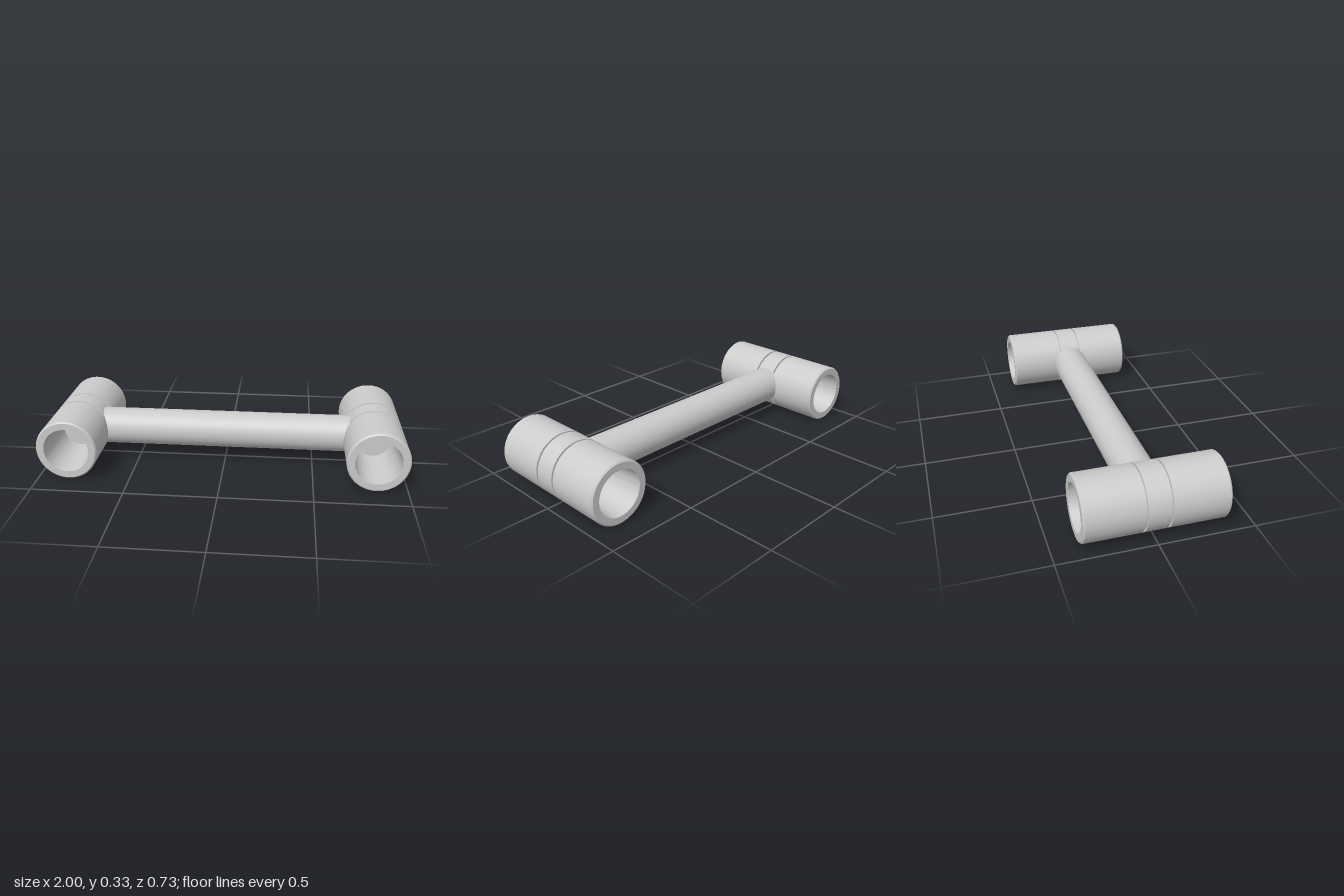
import * as THREE from 'three';
import { toCreasedNormals } from 'three/addons/utils/BufferGeometryUtils.js';

const R = 0.167;          // sleeve radius, also its height above the ground
const SLEEVE_X = 1 - R;

// Half profile of a sleeve [radius, axial], from the middle to the open end
const halfProfile = [
  [R, 0.056], [0.153, 0.056], [0.153, 0.068], [R, 0.068],  // groove
  [R, 0.355], [0.159, 0.363],                              // chamfered rim
  [0.123, 0.363], [0.103, 0.06], [0, 0.06],                // tapered blind bore
];

function sleeveGeometry() {
  const mirrored = halfProfile.map(([r, a]) => [r, -a]).reverse();
  const points = [...mirrored, ...halfProfile].map(([r, a]) => new THREE.Vector2(r, a));
  const geometry = new THREE.LatheGeometry(points, 96);
  geometry.rotateX(Math.PI / 2);
  return toCreasedNormals(geometry, Math.PI / 7);
}

export function createModel() {
  const group = new THREE.Group();
  group.name = 'linkArm';
  const material = new THREE.MeshStandardMaterial({ color: 0xcccccc });

  // End sleeves, axes front to back
  const geometry = sleeveGeometry();
  for (const side of [-1, 1]) {
    const sleeve = new THREE.Mesh(geometry, material);
    sleeve.name = side > 0 ? 'leftSleeve' : 'rightSleeve';
    sleeve.position.set(side * SLEEVE_X, R, 0);
    group.add(sleeve);
  }

  // Connecting rod, its ends buried in the sleeve walls
  const rod = new THREE.Mesh(new THREE.CylinderGeometry(0.103, 0.103, 1.412, 64), material);
  rod.name = 'connectingRod';
  rod.rotation.z = Math.PI / 2;
  rod.position.y = R + 0.004;
  group.add(rod);

  return group;
}
